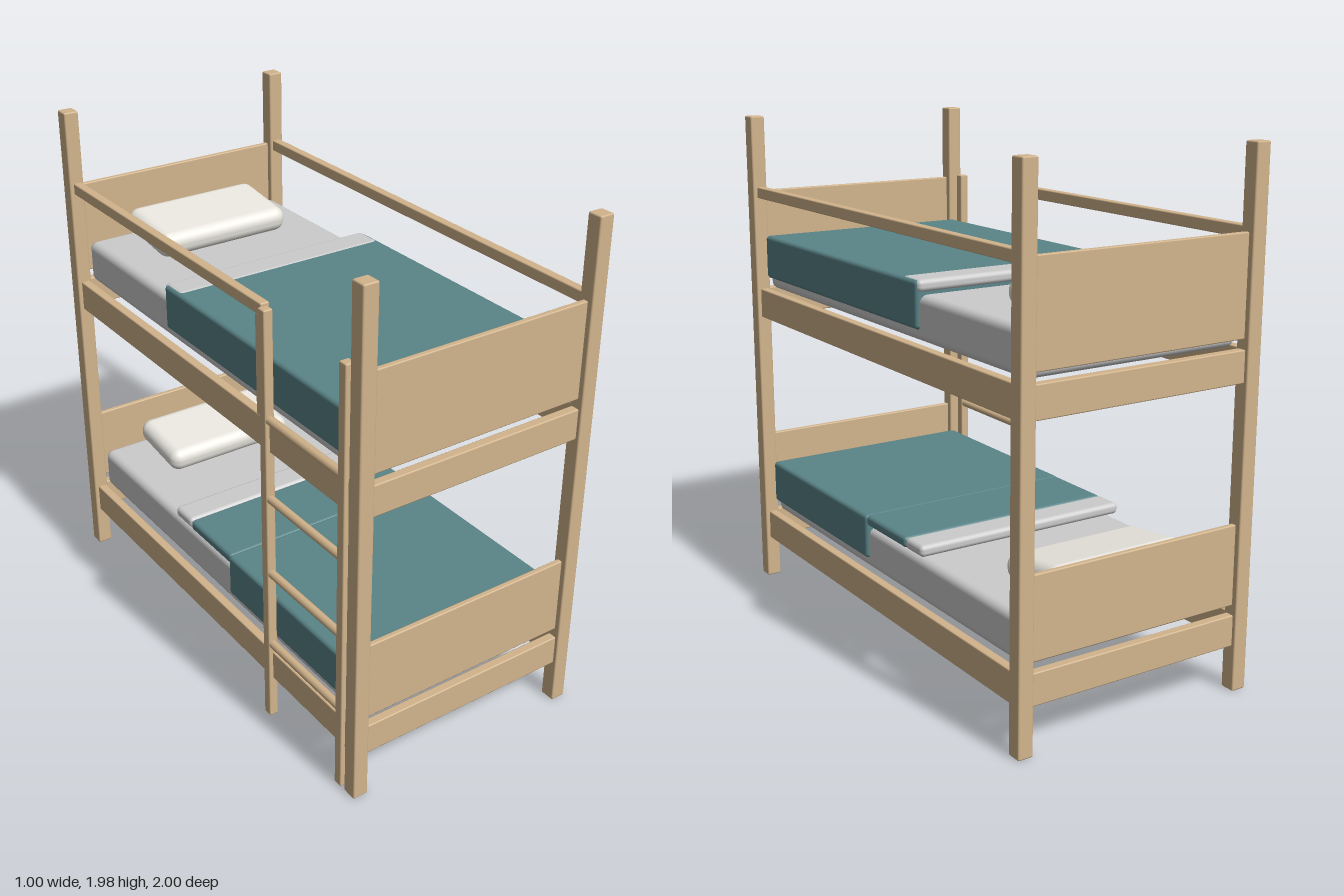
import * as THREE from 'three';
import { RoundedBoxGeometry } from 'three/addons/geometries/RoundedBoxGeometry.js';

const wood = new THREE.MeshStandardMaterial({ color: 0xd2b48c });
const sheet = new THREE.MeshStandardMaterial({ color: 0xcccccc });
const pillowCloth = new THREE.MeshStandardMaterial({ color: 0xe9e7df });
const blanketCloth = new THREE.MeshStandardMaterial({ color: 0x5a8488 });

// Rounded block given by its [min, max] range on each axis
function block(name, material, [x0, x1], [y0, y1], [z0, z1], radius = 0.005, segments = 1) {
  const geometry = new RoundedBoxGeometry(x1 - x0, y1 - y0, z1 - z0, segments, radius);
  const mesh = new THREE.Mesh(geometry, material);
  mesh.position.set((x0 + x1) / 2, (y0 + y1) / 2, (z0 + z1) / 2);
  mesh.name = name;
  return mesh;
}

// Range of a given width around a centre
const around = (centre, width) => [centre - width / 2, centre + width / 2];

// One bunk: rails, end boards, mattress and bedding, measured from the rail bottom
function createBunk(name, y, boardHeight, blanketEnd) {
  const bunk = new THREE.Group();
  bunk.name = name;
  for (const s of [-1, 1]) {
    bunk.add(
      block('sideRail', wood, around(s * 0.467, 0.036), [y, y + 0.12], [-0.94, 0.94]),
      block('endRail', wood, [-0.44, 0.44], [y, y + 0.12], around(s * 0.97, 0.036)),
      block(s > 0 ? 'footboard' : 'headboard', wood,
        [-0.44, 0.44], [y + 0.155, y + 0.155 + boardHeight], around(s * 0.97, 0.022)),
    );
  }
  bunk.add(
    block('mattress', sheet, [-0.44, 0.44], [y + 0.12, y + 0.288], [-0.94, 0.94], 0.03, 3),
    block('blanket', blanketCloth, [-0.455, 0.455], [y + 0.165, y + 0.34], [blanketEnd, 0.94], 0.015, 3),
    block('sheetFold', sheet, [-0.45, 0.45], [y + 0.298, y + 0.343], [-0.3, -0.178], 0.018, 3),
  );
  // Thin top layer where the blanket is not draped over the sides
  if (blanketEnd > -0.18) {
    bunk.add(block('blanketTop', blanketCloth,
      [-0.45, 0.45], [y + 0.298, y + 0.341], [-0.18, blanketEnd + 0.01], 0.015, 3));
  }
  const pillow = block('pillow', pillowCloth,
    around(0, 0.58), around(y + 0.35, 0.1), around(-0.742, 0.31), 0.045, 4);
  pillow.rotation.x = 0.13;
  bunk.add(pillow);
  return bunk;
}

// Ladder on the right side, near the foot
function createLadder() {
  const ladder = new THREE.Group();
  ladder.name = 'ladder';
  for (const z of [0.445, 0.902]) {
    ladder.add(block('ladderUpright', wood, [-0.502, -0.465], [0, 1.69], around(z, 0.038)));
  }
  const rungGeometry = new THREE.CylinderGeometry(0.016, 0.016, 0.46, 12).rotateX(Math.PI / 2);
  for (let i = 0; i < 4; i++) {
    const rung = new THREE.Mesh(rungGeometry, wood);
    rung.name = 'rung';
    rung.position.set(-0.484, 0.335 + i * 0.315, 0.6735);
    ladder.add(rung);
  }
  return ladder;
}

export function createModel() {
  const model = new THREE.Group();
  model.name = 'bunkBed';

  // Corner posts
  for (const x of [-0.47, 0.47]) {
    for (const z of [-0.97, 0.97]) {
      model.add(block('post', wood, around(x, 0.06), [0, 1.98], around(z, 0.06), 0.006));
    }
  }

  model.add(
    createBunk('lowerBunk', 0.175, 0.307, 0.11),
    createBunk('upperBunk', 1.153, 0.37, -0.29),
    createLadder(),
  );

  // Guard rails, the right one stopping at the ladder opening
  model.add(
    block('guardRail', wood, around(0.467, 0.036), [1.65, 1.695], [-0.94, 0.94]),
    block('guardRail', wood, around(-0.467, 0.036), [1.65, 1.695], [-0.94, 0.42]),
    block('guardSupport', wood, around(-0.467, 0.036), [1.27, 1.655], [0.382, 0.42]),
  );
  return model;
}
